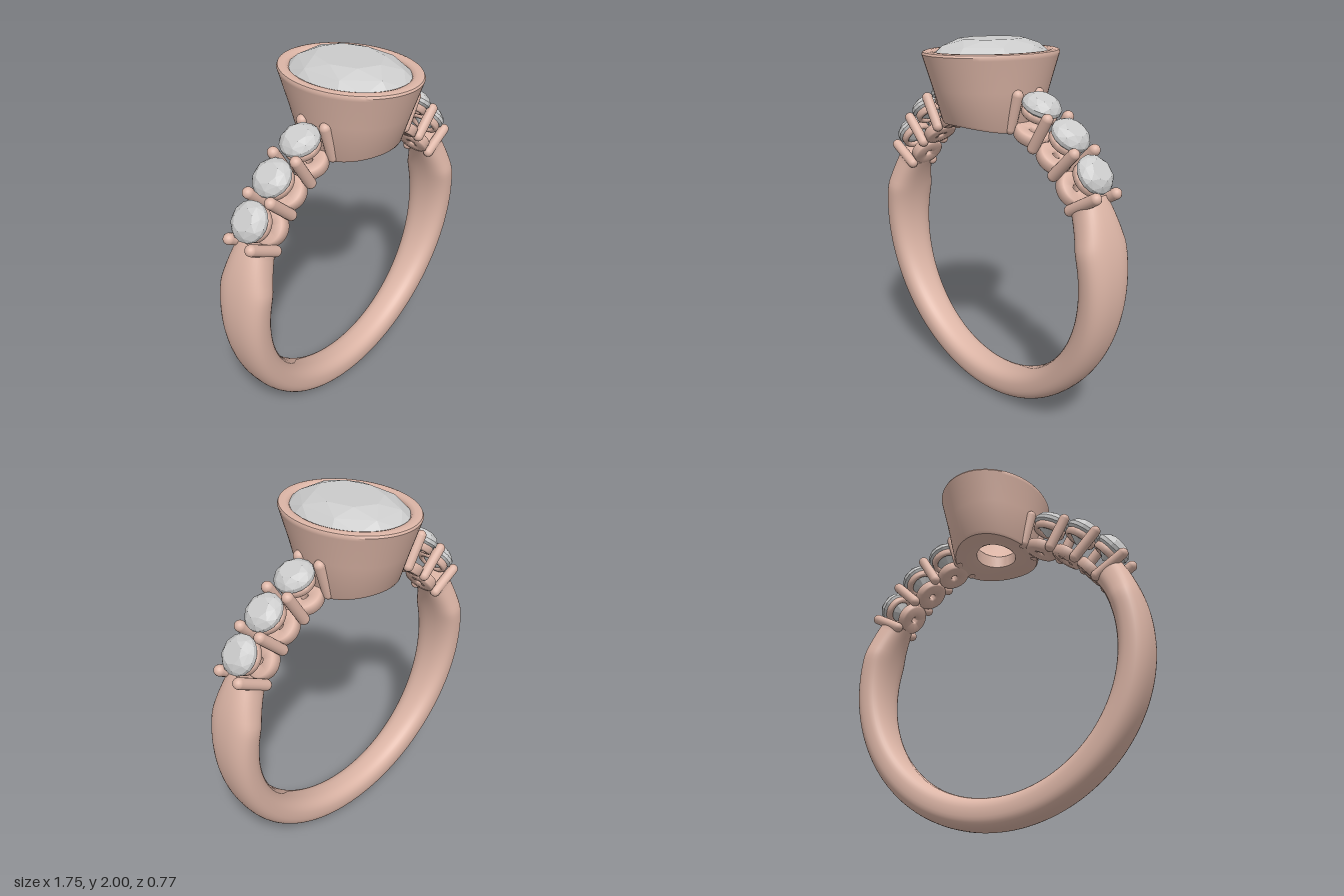
import * as THREE from 'three';
import { toCreasedNormals } from 'three/addons/utils/BufferGeometryUtils.js';
import { ConvexGeometry } from 'three/addons/geometries/ConvexGeometry.js';

const CY = 0.878, R_IN = 0.708, R_OUT = 0.876;   // finger hole centre and band radii
const rad = THREE.MathUtils.degToRad, lerp = THREE.MathUtils.lerp;
const v2 = (list) => list.map(([x, y]) => new THREE.Vector2(x, y));

const metal = new THREE.MeshStandardMaterial({ color: 0xdcb5a6 });
const stone = new THREE.MeshStandardMaterial({ color: 0xcccccc, flatShading: true });

function mesh(name, geometry, material = metal) {
  const m = new THREE.Mesh(geometry, material);
  m.name = name;
  return m;
}

// Half width of the band: swells towards the shoulders, then pinches in
function halfWidth(deg) {
  const swell = 0.093 + 0.053 * Math.min(1, (Math.sin(rad(deg)) + 1) / 1.2);
  const pinch = THREE.MathUtils.clamp((deg - 15) / 14, 0, 1);
  return lerp(swell, 0.095, pinch);
}

// Band swept round the open lower part of the ring
function shankGeometry() {
  const N = 128, M = 36, END = 31, pos = [], idx = [];
  const mid = (R_IN + R_OUT) / 2, half = (R_OUT - R_IN) / 2;
  const soft = (c) => Math.sign(c) * Math.pow(Math.abs(c), 0.8);
  for (let i = 0; i <= N; i++) {
    const deg = lerp(-180 - END, END, i / N), a = rad(deg);
    const w = halfWidth(deg < -90 ? -180 - deg : deg);
    for (let j = 0; j < M; j++) {
      const p = (j / M) * Math.PI * 2;
      const r = mid + half * soft(Math.cos(p));
      pos.push(r * Math.cos(a), CY + r * Math.sin(a), w * soft(Math.sin(p)));
    }
  }
  for (let i = 0; i < N; i++) for (let j = 0; j < M; j++) {
    const a = i * M + j, b = i * M + (j + 1) % M;
    idx.push(a, a + M, b, b, a + M, b + M);
  }
  // end caps
  for (let j = 1; j < M - 1; j++) {
    idx.push(0, j, j + 1);
    idx.push(N * M, N * M + j + 1, N * M + j);
  }
  const g = new THREE.BufferGeometry();
  g.setAttribute('position', new THREE.Float32BufferAttribute(pos, 3));
  g.setIndex(idx);
  return toCreasedNormals(g, rad(40));
}

// Faceted oval stone: girdle at y = 0, table at y = crown, tip at y = -depth
function gemGeometry(rx, rz, crown, depth, girdle) {
  const pts = [];
  const ring = (n, r, y, turn = 0) => {
    for (let i = 0; i < n; i++) {
      const a = ((i + turn) / n) * Math.PI * 2;
      pts.push(new THREE.Vector3(rx * r * Math.cos(a), y, rz * r * Math.sin(a)));
    }
  };
  ring(8, 0.56, crown);
  ring(8, 0.84, crown * 0.58, 0.5);
  ring(16, 1, 0);
  ring(16, 1, -girdle);
  ring(8, 0.55, -girdle - (depth - girdle) * 0.5, 0.5);
  pts.push(new THREE.Vector3(0, -depth, 0));
  return new ConvexGeometry(pts);
}

// Oval tapered cup, its foot cut to the curve of the finger hole
function bezelGeometry() {
  const profile = v2([
    [0.11, 1.58], [0.125, 1.57], [0.18, 1.57], [0.228, 1.57], [0.236, 1.585], [0.27, 1.76],
    [0.302, 1.915], [0.305, 1.93], [0.3, 1.941], [0.288, 1.945], [0.27, 1.945],
    [0.258, 1.94], [0.252, 1.93], [0.25, 1.9], [0.17, 1.74], [0.11, 1.67], [0.11, 1.58]]);
  const g = new THREE.LatheGeometry(profile, 72);
  const p = g.attributes.position;
  for (let i = 0; i < p.count; i++) {
    const x = p.getX(i), y = p.getY(i);
    p.setZ(i, p.getZ(i) * lerp(1.15, 1.265, (y - 1.57) / 0.36));
    if (y < 1.6) p.setY(i, y - 1.57 + CY + Math.sqrt(R_IN * R_IN - x * x));
  }
  return toCreasedNormals(g, rad(40));
}

// Closed ring of revolution between two radii and two heights, with soft corners
function collarGeometry(r0, r1, y0, y1) {
  const c = 0.008;
  return toCreasedNormals(new THREE.LatheGeometry(v2([
    [r0, y0 + c], [r0 + c, y0], [r1 - c, y0], [r1, y0 + c],
    [r1, y1 - c], [r1 - c, y1], [r0 + c, y1], [r0, y1 - c], [r0, y0 + c]]), 32), rad(50));
}

// Group whose local +y points outwards from the ring centre
function radialGroup(name, deg) {
  const g = new THREE.Group();
  g.name = name;
  g.position.y = CY;
  g.rotation.z = rad(deg - 90);
  return g;
}

export function createModel() {
  const model = new THREE.Group();
  model.name = 'ring';
  model.add(mesh('shank', shankGeometry()));

  // Centre setting
  model.add(mesh('bezel', bezelGeometry()));
  const centre = mesh('centreStone', gemGeometry(0.258, 0.333, 0.075, 0.25, 0.01), stone);
  centre.position.y = 1.925;
  model.add(centre);

  // Shared parts of the shoulder settings
  const sideGem = gemGeometry(0.1, 0.1, 0.04, 0.095, 0.02);
  const seat = collarGeometry(0.062, 0.09, 0.835, 0.878);
  const base = collarGeometry(0.018, 0.09, 0.703, 0.762);
  const prong = new THREE.CapsuleGeometry(0.029, 0.175, 6, 16);

  for (const [side, at] of [['left', (d) => d], ['right', (d) => 180 - d]]) {
    const shoulder = new THREE.Group();
    shoulder.name = side + 'Shoulder';
    for (const deg of [37.6, 52, 66.3]) {
      const setting = radialGroup('sideSetting', at(deg));
      const gem = mesh('sideStone', sideGem, stone);
      gem.position.y = 0.906;
      setting.add(gem, mesh('stoneSeat', seat), mesh('settingBase', base));
      shoulder.add(setting);
    }
    // Prong pairs between the stones
    for (const deg of [30.4, 45, 59, 73]) {
      const pair = radialGroup('prongPair', at(deg));
      for (const z of [-0.072, 0.072]) {
        const p = mesh('prong', prong);
        p.position.set(0, 0.817, z);
        pair.add(p);
      }
      shoulder.add(pair);
    }
    model.add(shoulder);
  }
  return model;
}
